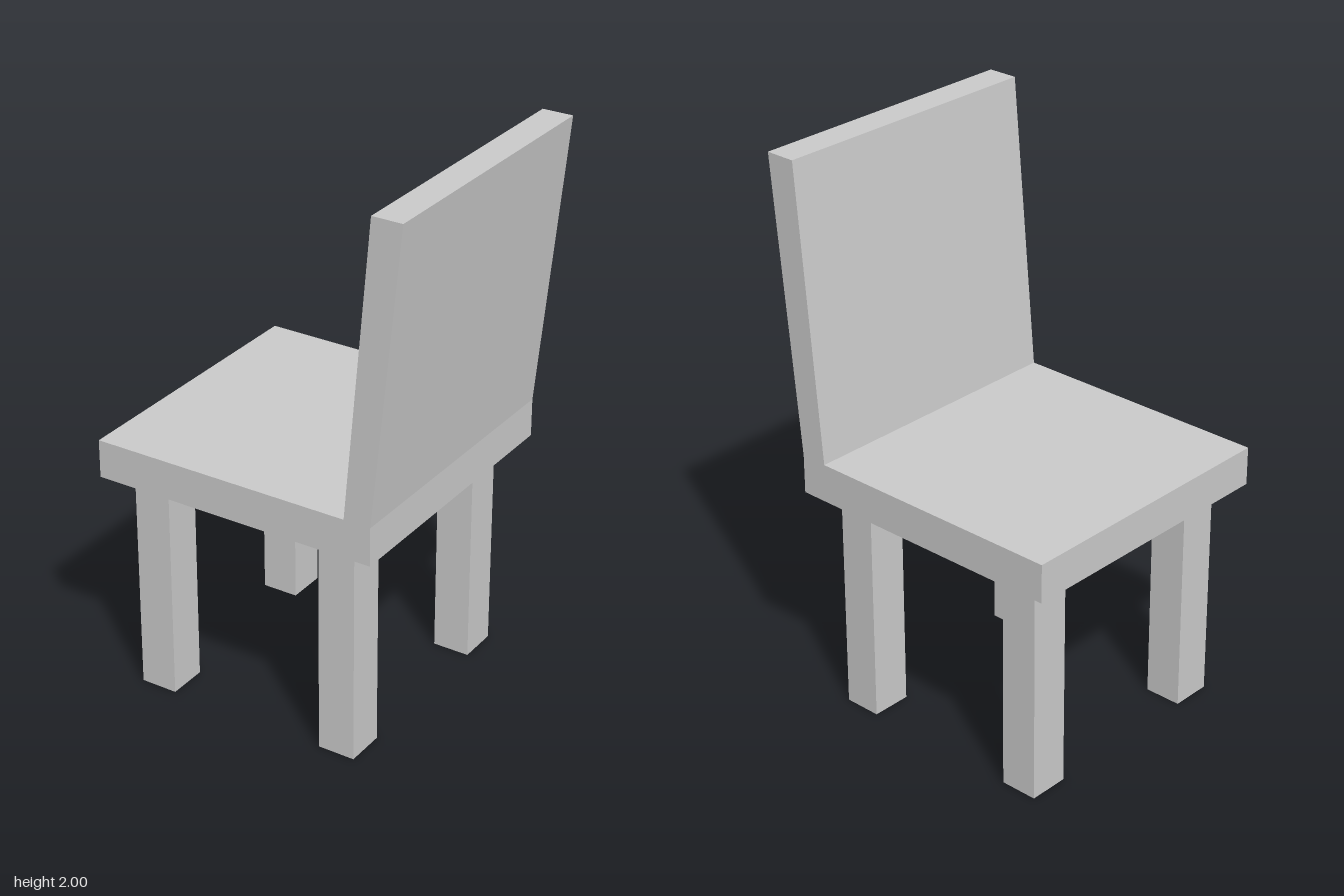
import * as THREE from 'three';

export function createModel() {
  const chair = new THREE.Group();
  chair.name = 'chair';
  const material = new THREE.MeshStandardMaterial({ color: 0xcccccc, flatShading: true });

  const seatBottom = 0.815, seatTop = 0.953, width = 1.034;

  // Seat and leaning backrest: one side profile swept across the width
  const profile = new THREE.Shape([
    [-0.58, seatBottom], [0.476, seatBottom], [0.476, seatTop], [0.58, 2],
    [0.47, 2], [0.378, seatTop], [-0.58, seatTop],
  ].map(([x, y]) => new THREE.Vector2(x, y)));
  const bodyGeometry = new THREE.ExtrudeGeometry(profile, { depth: width, bevelEnabled: false });
  bodyGeometry.translate(0, 0, -width / 2);
  const body = new THREE.Mesh(bodyGeometry, material);
  body.name = 'seatAndBackrest';
  chair.add(body);

  // Four square legs
  const legGeometry = new THREE.BoxGeometry(0.136, seatBottom, 0.146);
  for (const [end, x] of [['front', -0.424], ['rear', 0.304]]) {
    for (const [side, z] of [['Right', 0.371], ['Left', -0.377]]) {
      const leg = new THREE.Mesh(legGeometry, material);
      leg.name = `${end}${side}Leg`;
      leg.position.set(x, seatBottom / 2, z);
      chair.add(leg);
    }
  }
  return chair;
}
